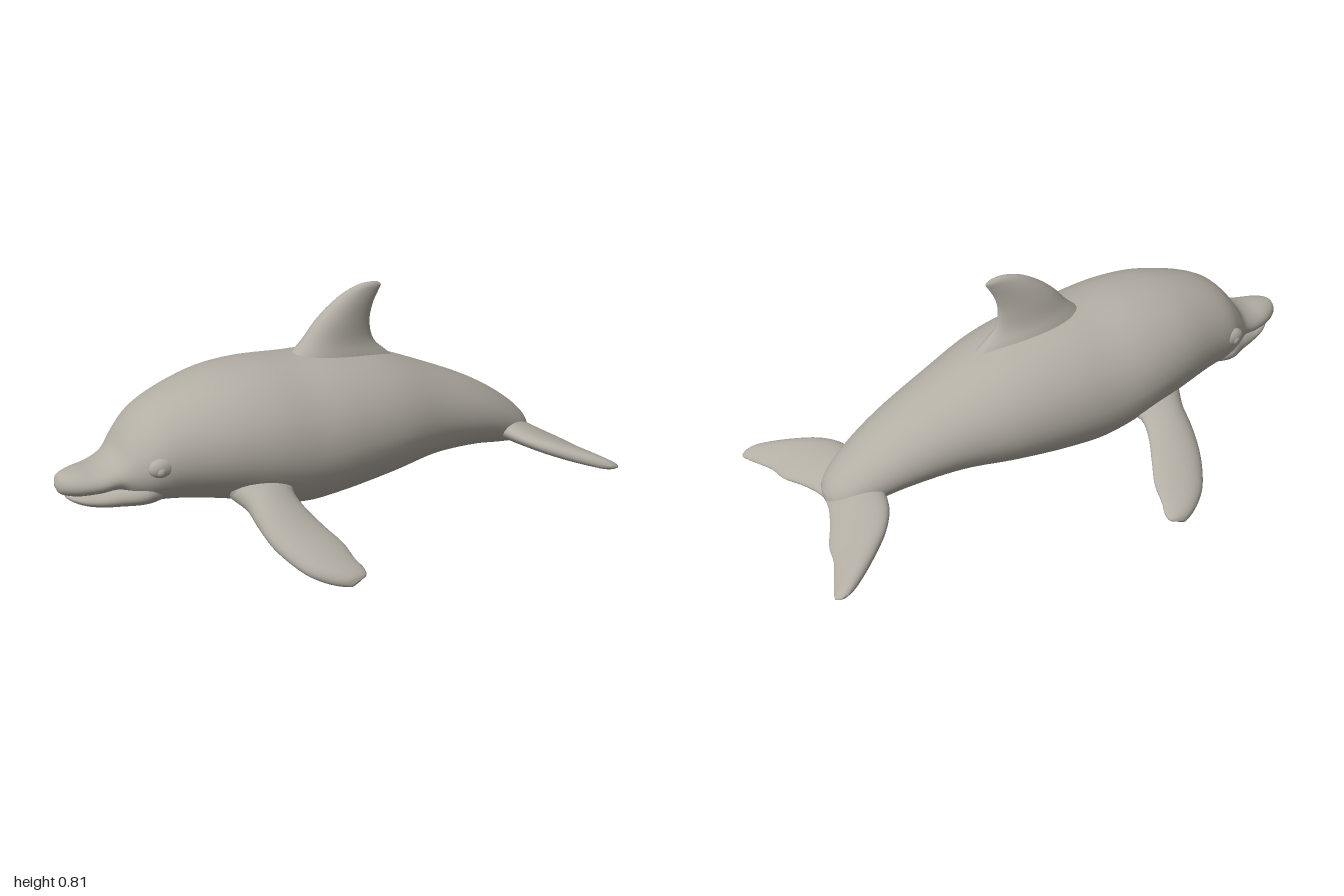
import * as THREE from 'three';

const AROUND = 40;

// Smooth skin through a row of rings, closed at both ends
function loft(rings, steps) {
  const curves = [];
  for (let j = 0; j < AROUND; j++) {
    curves.push(new THREE.CatmullRomCurve3(rings.map(r => r[j]), false, 'centripetal'));
  }
  const pos = [], idx = [];
  const spans = rings.length - 1, rows = spans * steps;
  for (let i = 0; i <= rows; i++) {
    for (let j = 0; j < AROUND; j++) pos.push(...curves[j].getPoint(i / rows).toArray());
  }
  for (let i = 0; i < rows; i++) {
    for (let j = 0; j < AROUND; j++) {
      const k = (j + 1) % AROUND;
      const a = i * AROUND + j, b = i * AROUND + k, c = a + AROUND, d = b + AROUND;
      idx.push(a, b, c, b, d, c);
    }
  }
  // End caps
  [0, rows].forEach(row => {
    const mid = new THREE.Vector3();
    for (let j = 0; j < AROUND; j++) mid.add(new THREE.Vector3().fromArray(pos, (row * AROUND + j) * 3));
    mid.divideScalar(AROUND);
    const m = pos.length / 3;
    pos.push(mid.x, mid.y, mid.z);
    for (let j = 0; j < AROUND; j++) {
      const a = row * AROUND + j, b = row * AROUND + (j + 1) % AROUND;
      if (row === 0) idx.push(m, b, a); else idx.push(m, a, b);
    }
  });
  // Turn the skin outward by its signed volume
  let volume = 0;
  const v = [0, 1, 2].map(() => new THREE.Vector3());
  for (let i = 0; i < idx.length; i += 3) {
    v.forEach((p, n) => p.fromArray(pos, idx[i + n] * 3));
    volume += v[0].dot(v[1].clone().cross(v[2]));
  }
  if (volume < 0) idx.reverse();
  const g = new THREE.BufferGeometry();
  g.setAttribute('position', new THREE.Float32BufferAttribute(pos, 3));
  g.setIndex(idx);
  g.computeVertexNormals();
  return g;
}

// Upright oval across the body with a soft belly keel: [x, top, bottom, halfWidth]
function bodyRing([x, top, bottom, w]) {
  const ring = [], mid = (top + bottom) / 2, h = (top - bottom) / 2;
  for (let j = 0; j < AROUND; j++) {
    const t = j / AROUND * Math.PI * 2, s = Math.sin(t);
    const y = s < 0 ? 0.93 * s - 0.07 * Math.pow(s, 10) : s;
    ring.push(new THREE.Vector3(x, mid + h * y, w * Math.cos(t)));
  }
  return ring;
}

// Fin section between a leading and a trailing edge point
function finRing(lead, trail, half, normal) {
  const ring = [];
  for (let j = 0; j < AROUND; j++) {
    const t = j / AROUND * Math.PI * 2;
    ring.push(lead.clone().lerp(trail, (1 - Math.cos(t)) / 2)
      .addScaledVector(normal, half * Math.sin(t) * (1 + 0.25 * Math.cos(t))));
  }
  return ring;
}

export function createModel() {
  const group = new THREE.Group();
  const skin = new THREE.MeshStandardMaterial({ color: 0xb3aea4 });
  skin.name = 'greySkin';
  const V = (x, y, z) => new THREE.Vector3(x, y, z);
  const add = (name, geometry) => {
    const mesh = new THREE.Mesh(geometry, skin);
    mesh.name = name;
    group.add(mesh);
    return mesh;
  };

  // Body with the upper beak
  add('body', loft([
    [-1.0, 0.31, 0.29, 0.012], [-0.988, 0.333, 0.268, 0.038], [-0.94, 0.345, 0.252, 0.072],
    [-0.87, 0.352, 0.25, 0.096], [-0.81, 0.38, 0.25, 0.112], [-0.76, 0.45, 0.21, 0.145],
    [-0.7, 0.51, 0.188, 0.18], [-0.6, 0.56, 0.173, 0.21], [-0.45, 0.6, 0.14, 0.253],
    [-0.3, 0.61, 0.095, 0.277], [-0.15, 0.6, 0.055, 0.28], [0, 0.59, 0.06, 0.275],
    [0.2, 0.55, 0.085, 0.25], [0.4, 0.47, 0.115, 0.2], [0.6, 0.375, 0.11, 0.156],
    [0.72, 0.3, 0.092, 0.125], [0.8, 0.235, 0.085, 0.095], [0.84, 0.19, 0.1, 0.06],
    [0.855, 0.16, 0.13, 0.02],
  ].map(bodyRing), 5));

  // Lower beak, leaving the mouth crease
  add('lowerJaw', loft([
    [-0.968, 0.26, 0.248, 0.012], [-0.955, 0.265, 0.236, 0.038], [-0.92, 0.268, 0.216, 0.062],
    [-0.87, 0.275, 0.2, 0.082], [-0.8, 0.3, 0.19, 0.112], [-0.72, 0.33, 0.187, 0.15],
    [-0.6, 0.3, 0.2, 0.1],
  ].map(bodyRing), 5));

  // Dorsal fin: [y at lead, y at trail, lead x, trail x, half thickness]
  add('dorsalFin', loft([
    [0.52, 0.46, -0.2, 0.34, 0.09], [0.6, 0.54, -0.125, 0.25, 0.068], [0.64, 0.6, -0.085, 0.19, 0.054],
    [0.7, 0.67, -0.035, 0.175, 0.043], [0.755, 0.73, 0.03, 0.188, 0.031],
    [0.79, 0.772, 0.09, 0.21, 0.02], [0.806, 0.792, 0.145, 0.22, 0.012], [0.808, 0.803, 0.18, 0.21, 0.004],
  ].map(([yl, yt, l, t, h]) => finRing(V(l, yl, 0), V(t, yt, 0), h, V(0, 0, 1))), 5));

  for (const side of [1, -1]) {
    const label = side > 0 ? 'left' : 'right';

    // Flipper: [z, y, lead x, trail x, half thickness]
    const tilt = V(0, 0.87, side * 0.5);
    add(label + 'Flipper', loft([
      [0.18, 0.225, -0.46, -0.22, 0.06], [0.25, 0.2, -0.432, -0.258, 0.05], [0.31, 0.168, -0.427, -0.25, 0.043],
      [0.39, 0.12, -0.412, -0.215, 0.038], [0.46, 0.083, -0.382, -0.183, 0.035],
      [0.52, 0.052, -0.342, -0.174, 0.031], [0.56, 0.033, -0.295, -0.162, 0.026],
      [0.583, 0.022, -0.255, -0.167, 0.018], [0.594, 0.016, -0.225, -0.19, 0.006],
    ].map(([z, y, l, t, h]) =>
      finRing(V(l, y - 0.008, side * z), V(t, y + 0.008, side * z), h, tilt)), 5));

    // Tail fluke, sloping down to the rear: [z, lead x, trail x, half thickness]
    const slope = x => 0.178 - 0.31 * (x - 0.7);
    add(label + 'Fluke', loft([
      [-0.01, 0.67, 0.85, 0.036], [0.06, 0.675, 0.865, 0.038], [0.13, 0.685, 0.893, 0.036],
      [0.2, 0.705, 0.927, 0.032], [0.27, 0.75, 0.942, 0.029], [0.33, 0.815, 0.968, 0.026],
      [0.38, 0.88, 0.99, 0.021], [0.41, 0.927, 0.999, 0.015], [0.424, 0.957, 0.985, 0.005],
    ].map(([z, l, t, h]) =>
      finRing(V(l, slope(l), side * z), V(t, slope(t), side * z), h, V(0.3, 0.95, 0))), 5));

    // Eye with its soft lid
    const eye = add(label + 'Eye', new THREE.SphereGeometry(0.022, 20, 14));
    eye.position.set(-0.7, 0.355, side * 0.174);
    const lid = add(label + 'EyeLid', new THREE.SphereGeometry(0.05, 20, 14));
    lid.scale.set(1, 0.7, 0.5);
    lid.position.set(-0.69, 0.362, side * 0.168);
  }
  return group;
}
